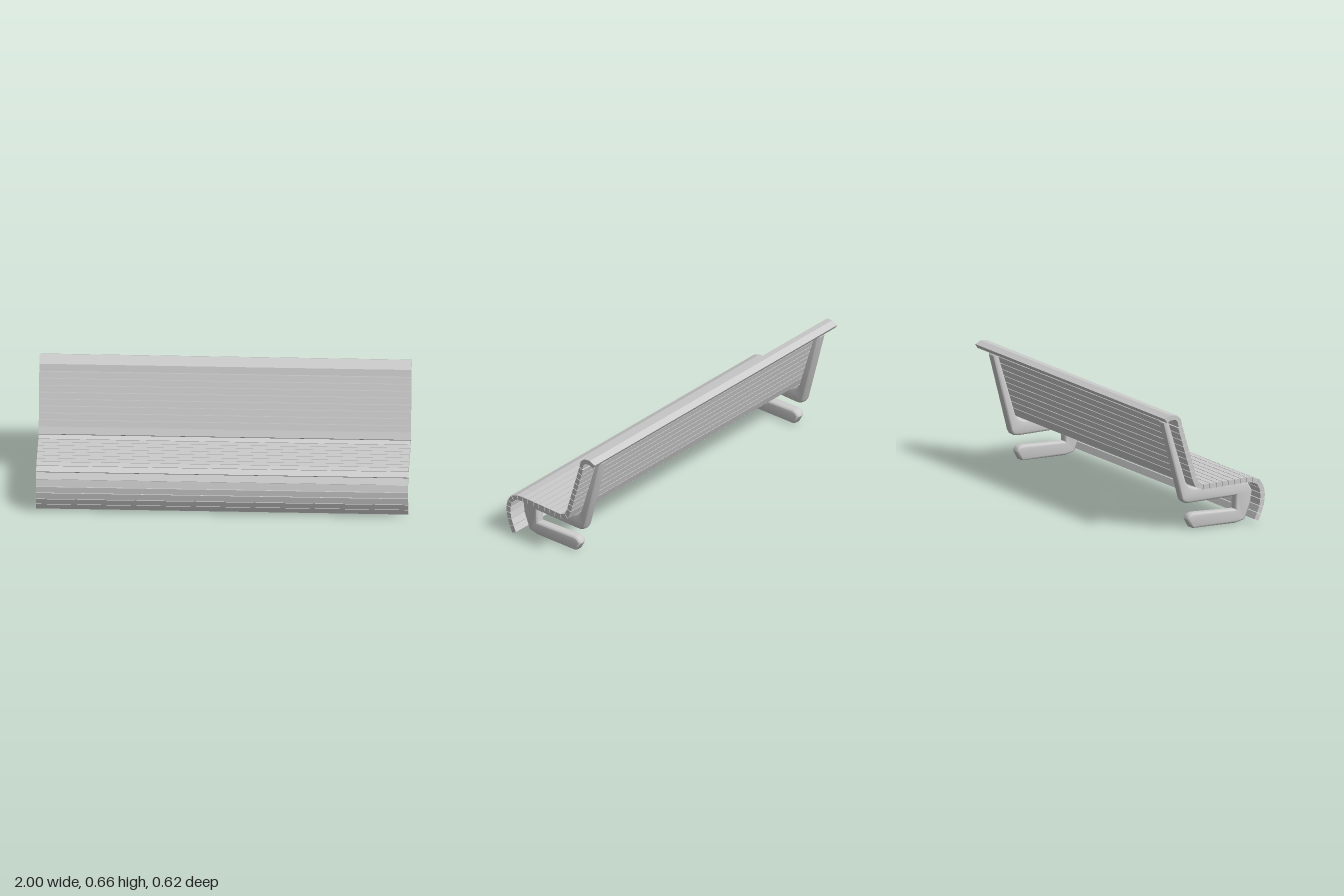
import * as THREE from 'three';
import { toCreasedNormals } from 'three/addons/utils/BufferGeometryUtils.js';

const material = new THREE.MeshStandardMaterial({ color: 0xcccccc });

// Extrudes a [z, y] outline along x, centred on x = 0
function extrudeSide(points, depth, bevel) {
  const shape = new THREE.Shape(points.map(([z, y]) => new THREE.Vector2(z, y)));
  const geometry = new THREE.ExtrudeGeometry(shape, { depth, bevelEnabled: false, ...bevel });
  return geometry.translate(0, 0, -depth / 2).rotateY(-Math.PI / 2);
}

function addMesh(parent, name, geometry, x = 0) {
  const mesh = new THREE.Mesh(geometry, material);
  mesh.name = name;
  mesh.position.x = x;
  parent.add(mesh);
}

// Appends evenly spaced points from the end of a path to a target
function runTo(path, z, y, steps) {
  const [z0, y0] = path[path.length - 1];
  for (let i = 1; i <= steps; i++) path.push([z0 + (z - z0) * i / steps, y0 + (y - y0) * i / steps]);
}

export function createModel() {
  const bench = new THREE.Group();
  bench.name = 'bench';

  // Sitting surface: curved front apron, flat seat, reclined back
  const path = [[0.271, 0.0125], [0.288, 0.05], [0.304, 0.089], [0.311, 0.13], [0.3125, 0.168],
    [0.303, 0.207], [0.28, 0.241], [0.239, 0.257], [0.2, 0.261]];
  runTo(path, -0.069, 0.256, 7);
  path.push([-0.1, 0.268], [-0.116, 0.306]);
  runTo(path, -0.2025, 0.596, 8);

  // Matching inner surface, offset along the mitre of each joint
  const thickness = 0.027, gap = 0.0035;
  const outer = path.map(([z, y]) => new THREE.Vector2(z, y));
  const normals = outer.slice(1).map((p, i) => {
    const d = p.clone().sub(outer[i]).normalize();
    return new THREE.Vector2(-d.y, d.x);
  });
  const inner = outer.map((p, i) => {
    const a = normals[Math.max(i - 1, 0)], b = normals[Math.min(i, normals.length - 1)];
    const m = a.clone().add(b).normalize();
    return p.clone().addScaledVector(m, thickness / m.dot(b));
  });

  // Slats, each shortened a little to leave a gap at its neighbours
  const slats = new THREE.Group();
  slats.name = 'slats';
  bench.add(slats);
  for (let i = 0; i < outer.length - 1; i++) {
    const g = new THREE.Vector2(normals[i].y, -normals[i].x).multiplyScalar(gap / 2);
    const corners = [
      outer[i].clone().add(g), outer[i + 1].clone().sub(g),
      inner[i + 1].clone().sub(g), inner[i].clone().add(g)
    ];
    addMesh(slats, 'slat', extrudeSide(corners.map(p => [p.x, p.y]), 2));
  }

  // Rolled top rail
  addMesh(bench, 'topRail', extrudeSide([
    [-0.203, 0.599], [-0.2125, 0.636], [-0.238, 0.659], [-0.277, 0.663], [-0.3125, 0.646],
    [-0.297, 0.623], [-0.273, 0.635], [-0.245, 0.634], [-0.232, 0.621], [-0.225, 0.591]
  ], 2));

  // Two support frames: foot, front post, seat arm and back upright in one outline
  const outline = [
    [-0.254, 0.63], [-0.271, 0.621], [-0.284, 0.607], [-0.17, 0.175], [-0.159, 0.157],
    [-0.141, 0.147], [-0.114, 0.145], [0.17, 0.15], [0.167, 0.078], [-0.09, 0.088],
    [-0.114, 0.082], [-0.127, 0.07], [-0.132, 0.054], [-0.107, 0.009], [-0.094, 0.003],
    [0.171, 0], [0.227, 0.013], [0.264, 0.107], [0.273, 0.173], [0.245, 0.221],
    [-0.0875, 0.227], [-0.118, 0.239], [-0.139, 0.2625]
  ];
  const frame = toCreasedNormals(extrudeSide(outline, 0.02, {
    bevelEnabled: true, bevelSize: 0.012, bevelOffset: -0.012, bevelThickness: 0.018, bevelSegments: 4
  }), 0.75);
  addMesh(bench, 'leftFrame', frame, 0.888);
  addMesh(bench, 'rightFrame', frame, -0.91);

  return bench;
}
